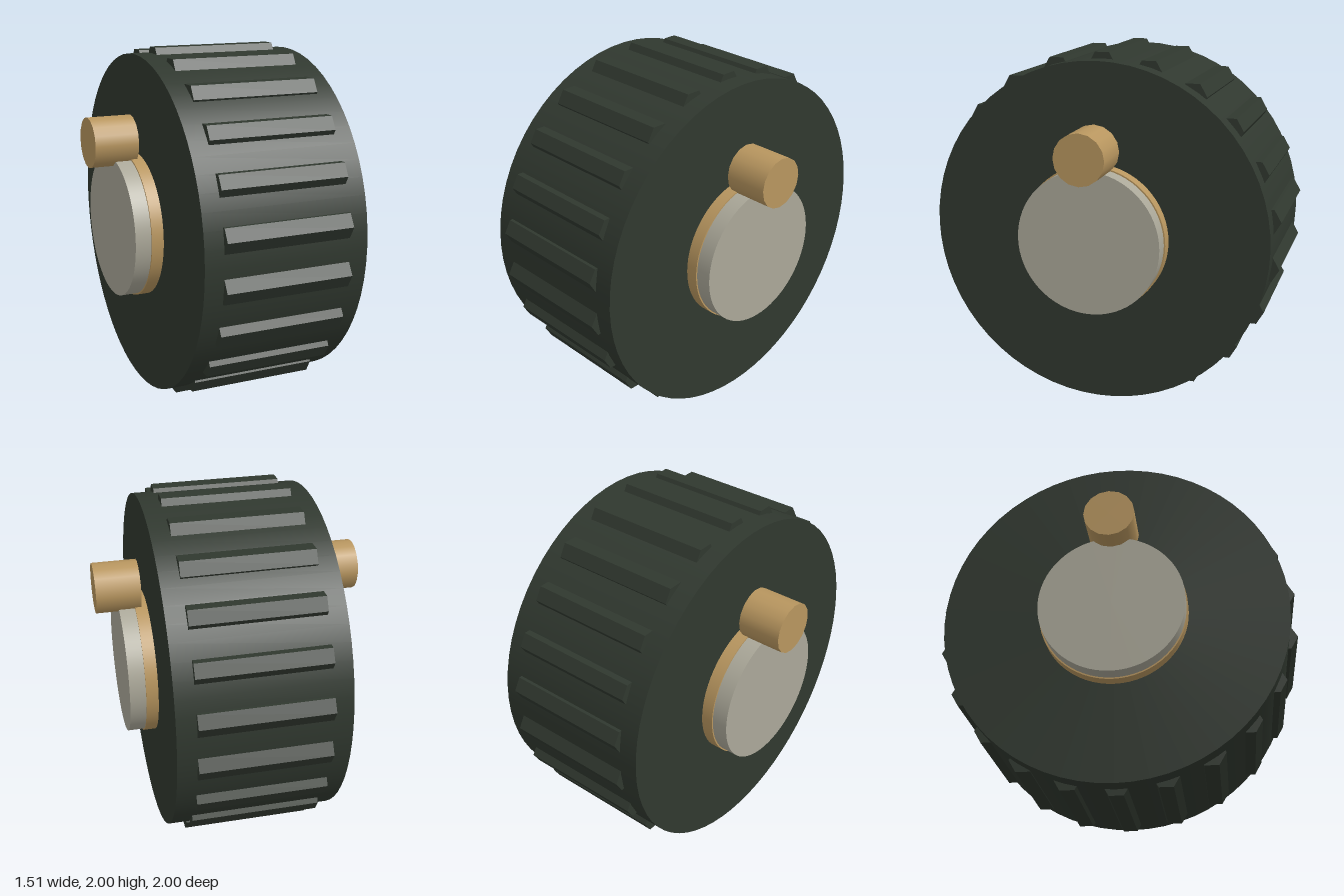
import * as THREE from 'three';

export function createModel() {
  const model = new THREE.Group();
  model.name = 'treadedWheel';

  const material = (name, color) => {
    const m = new THREE.MeshStandardMaterial({ color });
    m.name = name;
    return m;
  };
  const rubber = material('darkGreenRubber', 0x30382f);
  const tan = material('tan', 0xb8965f);
  const grey = material('warmGrey', 0xaba899);
  const treadRubber = rubber;

  // Cylinder lying along x, spanning x0..x1
  const axleCylinder = (name, radius, x0, x1, sides, mat, y = 1, z = 0) => {
    const geometry = new THREE.CylinderGeometry(radius, radius, x1 - x0, sides);
    geometry.rotateZ(Math.PI / 2);
    const mesh = new THREE.Mesh(geometry, mat);
    mesh.name = name;
    mesh.position.set((x0 + x1) / 2, y, z);
    model.add(mesh);
    return mesh;
  };

  // Tyre body
  axleCylinder('tyre', 0.966, -0.47, 0.47, 64, rubber);

  // Hexagonal tread bars, all keeping the same upright orientation
  const bars = 22;
  for (let i = 0; i < bars; i++) {
    const a = (i / bars) * Math.PI * 2;
    const bar = axleCylinder('treadBar', 0.08, -0.362, 0.362, 6, treadRubber,
      1 + 0.931 * Math.cos(a), 0.931 * Math.sin(a));
    // Flat facets
    bar.geometry = bar.geometry.toNonIndexed();
    bar.geometry.computeVertexNormals();
  }

  // Hub ring, hub cap and offset peg on each side
  for (const [side, s] of [['left', 1], ['right', -1]]) {
    const part = (name, radius, from, to, sides, mat, y) =>
      axleCylinder(side + name, radius, Math.min(s * from, s * to), Math.max(s * from, s * to), sides, mat, y);
    part('HubRing', 0.412, 0.4, 0.538, 64, tan);
    part('HubCap', 0.404, 0.5, 0.628, 64, grey);
    part('Peg', 0.142, 0.503, 0.753, 16, tan, 1.49);
  }

  return model;
}
